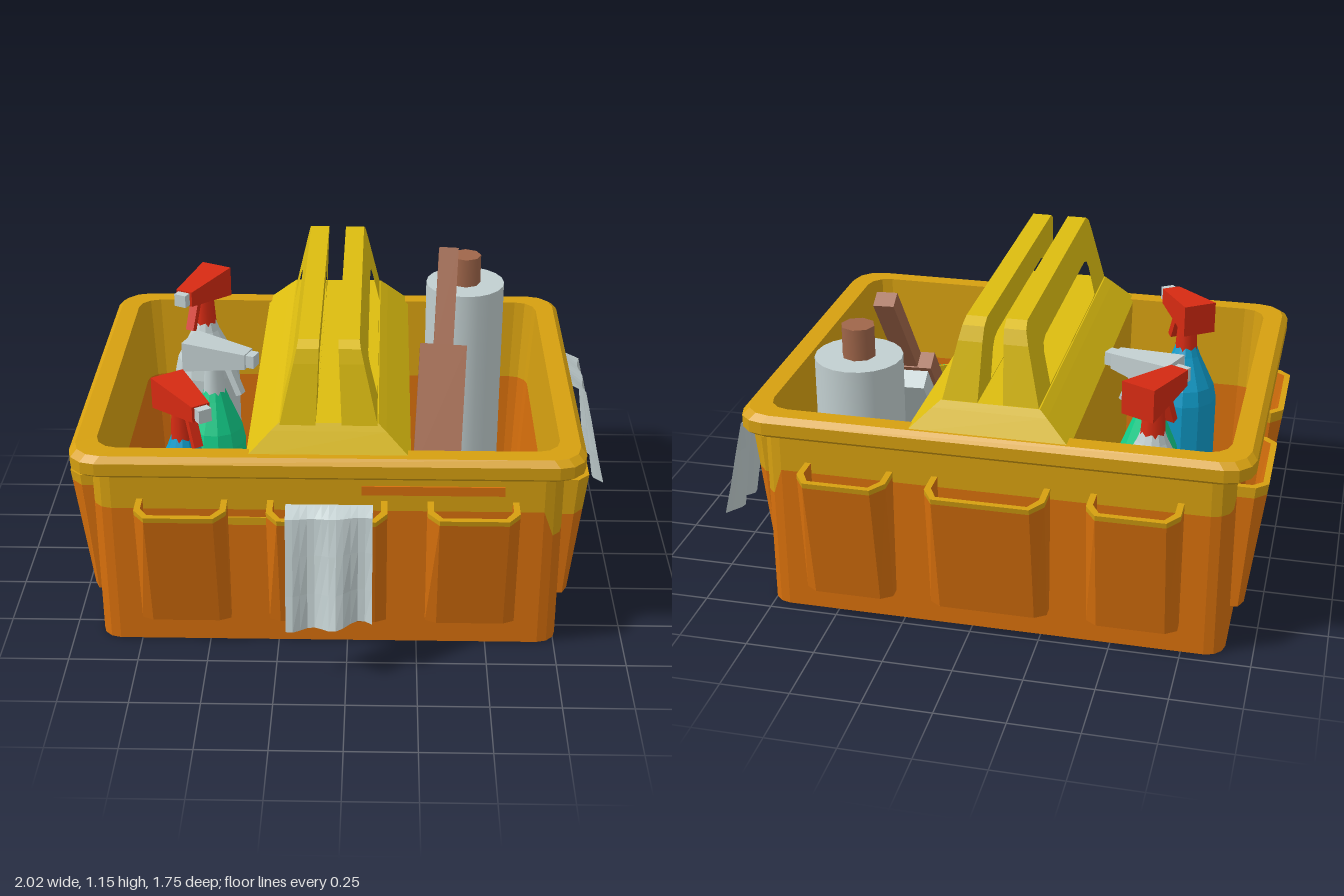
import * as THREE from 'three';

const mat = (name, color, side = THREE.FrontSide) => {
  const m = new THREE.MeshStandardMaterial({ color, side });
  m.name = name;
  return m;
};

// Skin through stacked rings (counter-clockwise from above), with flat facets
function loft(rings, capStart, capEnd) {
  const p = [], tri = (...v) => v.forEach(q => p.push(...q));
  const n = rings[0].length;
  for (let r = 0; r + 1 < rings.length; r++) for (let i = 0; i < n; i++) {
    const j = (i + 1) % n, a = rings[r], b = rings[r + 1];
    tri(a[i], a[j], b[j], a[i], b[j], b[i]);
  }
  for (let i = 1; i + 1 < n; i++) {
    const a = rings[0], b = rings[rings.length - 1];
    if (capStart) tri(a[0], a[i + 1], a[i]);
    if (capEnd) tri(b[0], b[i], b[i + 1]);
  }
  const g = new THREE.BufferGeometry();
  g.setAttribute('position', new THREE.Float32BufferAttribute(p, 3));
  g.computeVertexNormals();
  return g;
}

// Rounded rectangle ring; y may be a number or a function of x
function ring(hx, hz, r, y, cx = -0.07, cz = -0.05) {
  const out = [];
  [[1, 1], [-1, 1], [-1, -1], [1, -1]].forEach(([sx, sz], q) => {
    for (let k = 0; k <= 3; k++) {
      const a = (q + k / 3) * Math.PI / 2;
      const x = cx + sx * (hx - r) + r * Math.cos(a);
      out.push([x, typeof y === 'function' ? y(x) : y, cz - sz * (hz - r) - r * Math.sin(a)]);
    }
  });
  return out;
}

export function createModel() {
  const root = new THREE.Group();
  root.name = 'cleaningCaddy';
  const orange = mat('orange plastic', 0xd8700c), gold = mat('gold plastic', 0xd6a010);
  const yellow = mat('yellow plastic', 0xdcbc10), brown = mat('brown wood', 0xa0664a);
  const grey = mat('pale grey', 0xc2cfd0), cloth = mat('pale cloth', 0xc2cfd0, THREE.DoubleSide);
  const red = mat('red plastic', 0xd62a12), green = mat('green plastic', 0x12cc88);
  const blue = mat('blue plastic', 0x109cca);
  const add = (parent, name, geo, m, x = 0, y = 0, z = 0) => {
    const mesh = new THREE.Mesh(geo, m);
    mesh.name = name;
    mesh.position.set(x, y, z);
    parent.add(mesh);
    return mesh;
  };
  const box = (w, h, d) => new THREE.BoxGeometry(w, h, d);

  // Tray shell: lower orange, upper gold, lip, inside walls and floor
  const split = x => (x > 0.7 ? 0.45 : 0.55);
  add(root, 'lowerWall', loft([ring(0.83, 0.66, 0.07, 0), ring(0.83, 0.66, 0.07, split)], true), orange);
  add(root, 'upperWall', loft([ring(0.83, 0.66, 0.07, split), ring(0.83, 0.66, 0.07, 0.7)]), gold);
  add(root, 'rim', loft([ring(0.83, 0.66, 0.07, 0.7), ring(0.88, 0.705, 0.09, 0.7), ring(0.9, 0.722, 0.1, 0.715),
    ring(0.9, 0.722, 0.1, 0.76), ring(0.88, 0.7, 0.1, 0.78), ring(0.81, 0.637, 0.08, 0.78)]), gold);
  add(root, 'innerUpperWall', loft([ring(0.81, 0.637, 0.08, 0.78), ring(0.79, 0.62, 0.07, 0.45)]), gold);
  add(root, 'innerFloor', loft([ring(0.79, 0.62, 0.07, 0.45), ring(0.77, 0.6, 0.06, 0.06)], false, true), orange);
  add(root, 'stripe', box(0.5, 0.035, 0.008), orange, 0.3, 0.633, 0.612);
  add(root, 'stripe', box(0.15, 0.03, 0.008), gold, -0.35, 0.505, 0.612);

  // Outside pockets, open at the top
  function pocket(x, z, turn, w, dTop, dLow, cut) {
    const g = new THREE.Group();
    g.name = 'pocket';
    g.position.set(x, 0, z);
    g.rotation.y = turn;
    root.add(g);
    const sec = (y, t = 0) => {
      const d = dLow + (dTop - dLow) * (y - 0.11) / 0.48 - t, u = w - t, c = 0.04 - t / 2;
      return [[u - c, y, d], [u, y, d * 0.6], [u, y, -0.01], [-u, y, -0.01], [-u, y, d * 0.6], [-u + c, y, d]];
    };
    add(g, 'pocketBody', loft([sec(0.11), sec(cut)], true), orange);
    add(g, 'pocketTop', loft([sec(cut), sec(0.59), sec(0.59, 0.022)]), gold);
    add(g, 'pocketInside', loft([sec(0.59, 0.022), sec(0.3, 0.022)], false, true), orange);
  }
  [[-0.58, 0.16, 0], [-0.07, 0.21, 0.012], [0.44, 0.16, 0]].forEach(([x, w, e]) => {
    pocket(x, 0.61, 0, w, 0.135 + e, 0.045, 0.57);
    pocket(x, -0.71, Math.PI, w, 0.15 + e, 0.07, 0.57);
  });
  [0.25, -0.35].forEach(z => {
    pocket(0.76, z, Math.PI / 2, 0.2, 0.105, 0.05, 0.45);
    pocket(-0.9, z, -Math.PI / 2, 0.2, 0.105, 0.045, 0.55);
  });

  // Central divider with its sloping ridge
  const level = (hw, z0, z1, y) => [[hw, y, z1], [hw, y, z0], [-hw, y, z0], [-hw, y, z1]]
    .map(([x, b, z]) => [x - 0.065, b, z]);
  add(root, 'divider', loft([level(0.275, -0.67, 0.57, 0.06), level(0.285, -0.68, 0.58, 0.77)]), gold);
  add(root, 'handleBase', loft([level(0.285, -0.745, 0.63, 0.77), level(0.2, -0.7, 0.585, 0.85),
    level(0.172, -0.685, 0.57, 0.875)], false, true), yellow);

  // Twin handle plates with a grip opening, leaning together
  const poly = (pts, C) => new C(pts.map(([z, y]) => new THREE.Vector2(-z, y)));
  [-1, 1].forEach(side => {
    const shape = poly([[0.575, 0.865], [0.53, 1.08], [0.515, 1.13], [0.48, 1.15], [-0.58, 1.15],
      [-0.62, 1.13], [-0.64, 1.08], [-0.685, 0.865]], THREE.Shape);
    shape.holes.push(poly([[0.36, 0.878], [0.36, 0.99], [0.345, 1.02], [0.31, 1.03], [-0.41, 1.03],
      [-0.455, 1.02], [-0.475, 0.99], [-0.49, 0.878]], THREE.Path));
    const g = new THREE.ExtrudeGeometry(shape, { depth: 1, bevelEnabled: false }).rotateY(Math.PI / 2);
    const p = g.attributes.position;
    for (let i = 0; i < p.count; i++) {
      const t = (p.getY(i) - 0.865) / 0.285, far = p.getX(i) > 0.5;
      const off = far === side > 0 ? 0.17 - 0.065 * t : 0.045 - 0.012 * t;
      p.setX(i, -0.065 + side * off);
    }
    g.computeVertexNormals();
    add(root, 'handlePlate', g, yellow);
  });

  // Rags draped over the pocket edges
  function rag(x, z, turn, seed) {
    const path = [[-0.05, 0.5], [-0.03, 0.6], [0, 0.638], [0.05, 0.61], [0.075, 0.48], [0.1, 0.34], [0.125, 0.215]];
    const g = new THREE.PlaneGeometry(0.3, 1, 12, 6), p = g.attributes.position;
    for (let i = 0; i < p.count; i++) {
      const row = Math.floor(i / 13), u = p.getX(i), v = Math.max(0, row - 2) / 4;
      const fold = Math.sin(u * 38 + seed) * 0.024 + Math.sin(u * 17 + seed * 2) * 0.01;
      p.setXYZ(i, u, path[row][1] + v * u * 0.11 + v * Math.sin(u * 25) * 0.008, path[row][0] + fold * v);
    }
    const flat = g.toNonIndexed();
    flat.computeVertexNormals();
    add(root, 'rag', flat, cloth, x, 0, z).rotation.y = turn;
  }
  rag(-0.06, 0.72, 0, 0.6);
  rag(0.86, -0.36, Math.PI / 2, 1.7);

  // Spray bottles
  function spray(x, z, top, r, body, head, turn) {
    const g = new THREE.Group();
    g.name = 'sprayBottle';
    g.position.set(x, 0, z);
    g.rotation.y = turn;
    root.add(g);
    const prof = [[0, 0.06], [r, 0.07], [r, top - 0.42], [r * 0.9, top - 0.36], [0.055, top - 0.24], [0.04, top - 0.2], [0, top - 0.2]];
    const lathe = new THREE.LatheGeometry(prof.map(q => new THREE.Vector2(...q)), 12).toNonIndexed();
    lathe.computeVertexNormals();
    add(g, 'bottle', lathe, body);
    add(g, 'neck', new THREE.CylinderGeometry(0.035, 0.045, 0.14, 8), head, 0, top - 0.15, 0);
    // wedge head, pointing along local +z
    const sec = (w, y0, y1, zz) => [[w, y0, zz], [w, y1, zz], [-w, y1, zz], [-w, y0, zz]];
    add(g, 'sprayHead', loft([sec(0.065, top - 0.12, top, -0.1), sec(0.035, top - 0.08, top - 0.02, 0.15)], true, true), head);
    add(g, 'nozzle', box(0.05, 0.05, 0.035), grey, 0, top - 0.05, 0.165);
    add(g, 'trigger', box(0.035, 0.14, 0.025), head, 0, top - 0.14, 0.085).rotation.x = -0.4;
  }
  spray(-0.6, -0.53, 0.965, 0.13, grey, red, -0.45);
  spray(-0.53, -0.12, 0.86, 0.115, green, grey, 1.2);
  spray(-0.6, 0.35, 0.91, 0.125, blue, red, 0.6);

  // Paper roll on a wooden core
  add(root, 'paperRoll', new THREE.CylinderGeometry(0.155, 0.155, 0.88, 20), grey, 0.445, 0.5, -0.525);
  add(root, 'rollCore', new THREE.CylinderGeometry(0.06, 0.06, 0.3, 8), brown, 0.445, 0.905, -0.525);

  // Scrubbing brush leaning back
  const brush = new THREE.Group();
  brush.name = 'brush';
  brush.position.set(0.35, 0.75, -0.19);
  brush.rotation.set(-0.58, 0, -0.05);
  root.add(brush);
  add(brush, 'brushHead', box(0.18, 0.5, 0.07), brown, 0, -0.19, 0);
  add(brush, 'brushHandle', box(0.075, 0.4, 0.06), brown, 0, 0.24, 0);
  add(brush, 'bristles', box(0.15, 0.44, 0.08), grey, 0, -0.18, -0.07);

  // Open tub holding a two-tone sponge
  const tub = [[0, 0.065], [0.17, 0.065], [0.2, 0.4], [0.215, 0.42], [0.205, 0.435], [0.18, 0.42], [0.155, 0.1], [0, 0.1]];
  const tubGeo = new THREE.LatheGeometry(tub.map(q => new THREE.Vector2(...q)), 20).toNonIndexed();
  tubGeo.computeVertexNormals();
  add(root, 'tub', tubGeo, grey, 0.46, 0, 0.33);
  const sponge = new THREE.Group();
  sponge.name = 'sponge';
  sponge.position.set(0.43, 0.36, 0.32);
  sponge.rotation.set(0.2, -0.6, -0.35, 'YXZ');
  root.add(sponge);
  add(sponge, 'spongeSoft', box(0.09, 0.3, 0.19), yellow, -0.06, 0, 0);
  add(sponge, 'spongeScourer', box(0.09, 0.3, 0.19), green, 0.03, 0, 0);
  return root;
}
